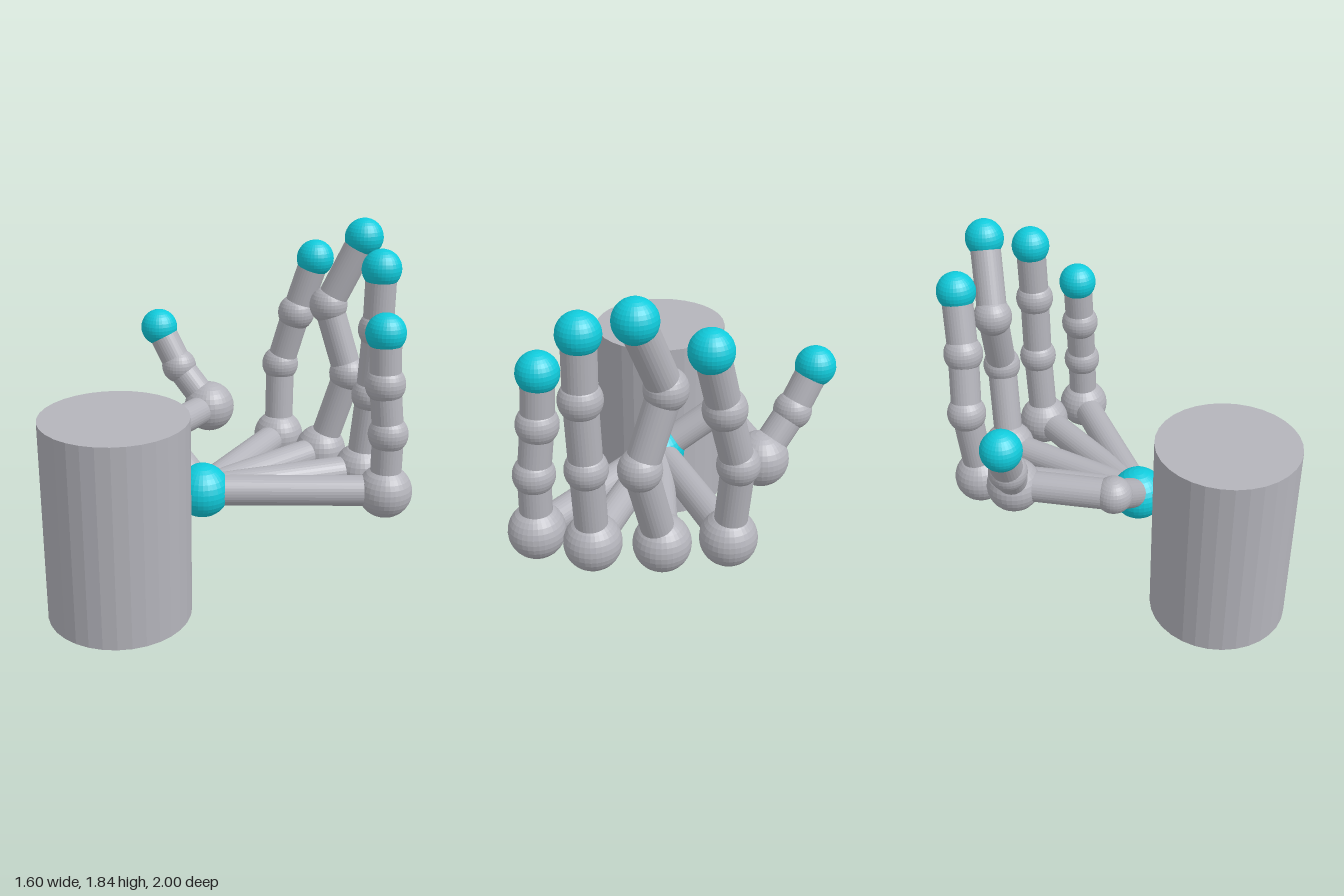
import * as THREE from 'three';

const SIDES = 32;
const UP = new THREE.Vector3(0, 1, 0);

export function createModel() {
  const grey = new THREE.MeshStandardMaterial({ name: 'grey', color: 0xb4b4bb, flatShading: true });
  const cyan = new THREE.MeshStandardMaterial({ name: 'cyan', color: 0x10cbdc, flatShading: true });
  const model = new THREE.Group();
  model.name = 'handWithCylinder';

  const addMesh = (parent, name, geometry, material, position) => {
    const mesh = new THREE.Mesh(geometry, material);
    mesh.name = name;
    mesh.position.copy(position);
    parent.add(mesh);
    return mesh;
  };

  const addBall = (parent, name, p, radius, material) =>
    addMesh(parent, name, new THREE.SphereGeometry(radius, SIDES, 16), material, p);

  // straight rod between two joints
  const addBone = (parent, name, a, b, radius = 0.08) => {
    const dir = b.clone().sub(a);
    const mid = a.clone().add(b).multiplyScalar(0.5);
    const bone = addMesh(parent, name,
      new THREE.CylinderGeometry(radius, radius, dir.length(), SIDES), grey, mid);
    bone.quaternion.setFromUnitVectors(UP, dir.normalize());
  };

  // standing cylinder in front of the hand
  addMesh(model, 'standingCylinder', new THREE.CylinderGeometry(0.365, 0.365, 1.053, SIDES),
    grey, new THREE.Vector3(0.09, 0.5265, 0.633));

  // wrist
  const wrist = new THREE.Vector3(0.09, 0.527, 0.117);
  addBall(model, 'wrist', wrist, 0.142, cyan);

  // joint positions from the palm outwards; big marks the knuckle
  const fingers = {
    thumb: { big: 1, joints: [[-0.238, 0.752, 0.175], [-0.434, 0.737, -0.31], [-0.59, 0.957, -0.21], [-0.698, 1.173, -0.15]] },
    indexFinger: { big: 0, joints: [[-0.265, 0.527, -0.69], [-0.3, 0.95, -0.72], [-0.23, 1.263, -0.77], [-0.165, 1.575, -0.84]] },
    middleFinger: { big: 0, joints: [[0.05, 0.527, -0.738], [0.143, 0.99, -0.835], [0.027, 1.363, -0.775], [0.148, 1.736, -0.898]] },
    ringFinger: { big: 0, joints: [[0.378, 0.527, -0.735], [0.39, 0.95, -0.77], [0.4, 1.312, -0.783], [0.395, 1.628, -0.79]] },
    littleFinger: { big: 0, joints: [[0.655, 0.527, -0.642], [0.65, 0.843, -0.645], [0.62, 1.105, -0.633], [0.603, 1.368, -0.632]] },
  };

  for (const [name, { big, joints }] of Object.entries(fingers)) {
    const finger = new THREE.Group();
    finger.name = name;
    let previous = wrist;
    joints.forEach((j, i) => {
      const p = new THREE.Vector3(...j);
      const isTip = i === joints.length - 1;
      addBone(finger, `${name}Bone${i + 1}`, previous, p);
      addBall(finger, isTip ? `${name}Tip` : `${name}Joint${i + 1}`, p,
        i === big ? 0.141 : isTip ? 0.102 : 0.103 - (name === 'thumb' ? 0.006 : 0),
        isTip ? cyan : grey);
      previous = p;
    });
    model.add(finger);
  }
  return model;
}
